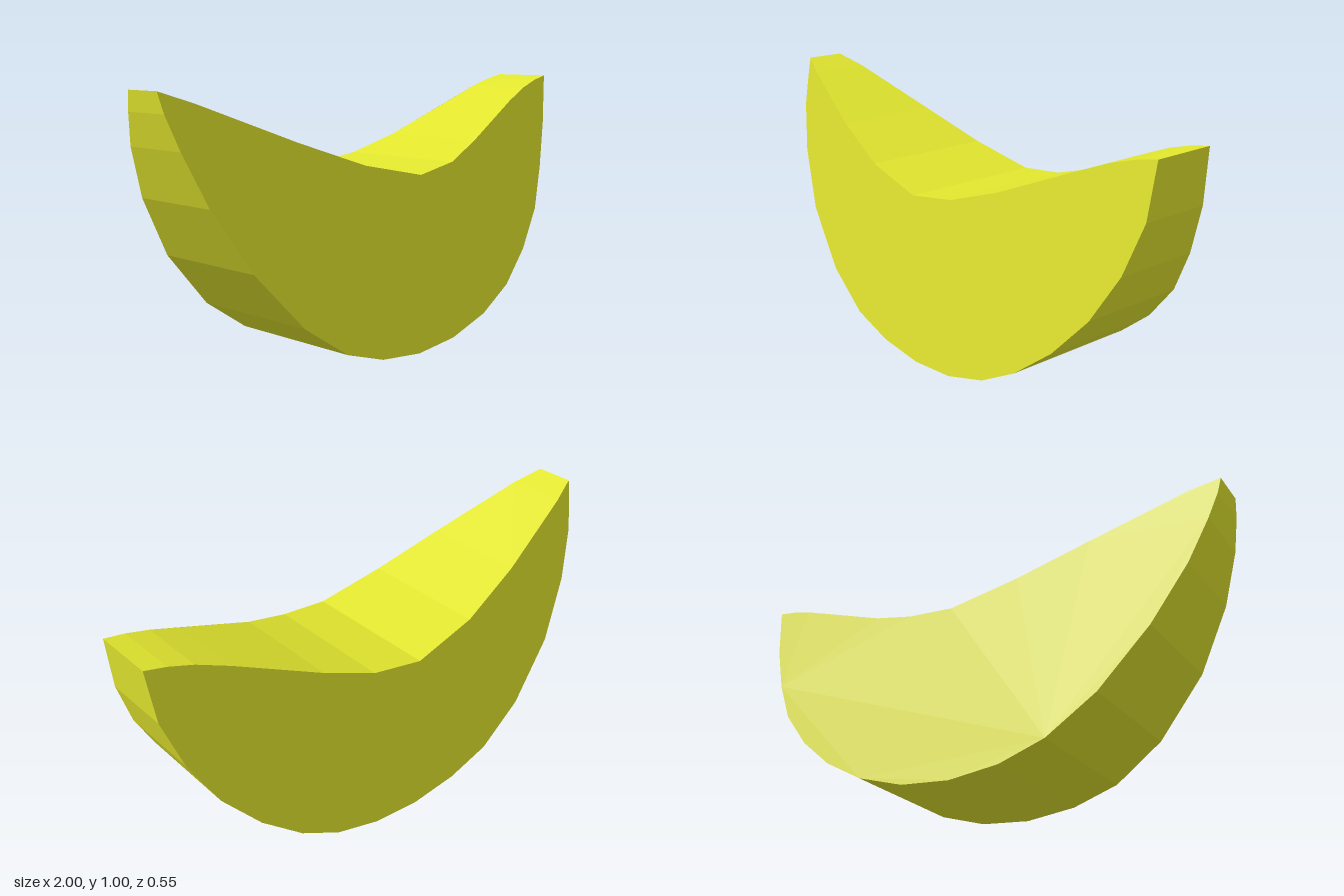
import * as THREE from 'three';

// Rim lines as [x, y, half thickness], running from the right tip to the left tip
const innerLine = [
  [-1, 1, 0.075], [-0.89, 0.96, 0.115], [-0.54, 0.82, 0.205], [-0.27, 0.725, 0.255], [0, 0.67, 0.275],
  [0.2, 0.7, 0.258], [0.39, 0.765, 0.215], [0.71, 0.905, 0.15], [0.83, 0.955, 0.133], [0.92, 0.983, 0.124], [1, 1, 0.118],
];
const outerLine = [
  [-1, 1, 0.075], [-0.99, 0.93, 0.095], [-0.96, 0.815, 0.133], [-0.89, 0.635, 0.18], [-0.76, 0.415, 0.23],
  [-0.57, 0.205, 0.262], [-0.38, 0.077, 0.275], [-0.2, 0.02, 0.275], [0, 0, 0.275], [0.2, 0.02, 0.275],
  [0.39, 0.08, 0.275], [0.55, 0.17, 0.268], [0.7, 0.293, 0.24], [0.83, 0.445, 0.205], [0.92, 0.615, 0.163],
  [0.98, 0.8, 0.132], [1, 1, 0.118],
];

const row = (line, side) => line.map(([x, y, w]) => [x, y, side * w]);

// Triangles (lists of three points) to a geometry with flat normals
function fromTriangles(triangles) {
  const geometry = new THREE.BufferGeometry();
  geometry.setAttribute('position', new THREE.Float32BufferAttribute(triangles.flat(2), 3));
  geometry.computeVertexNormals();
  return geometry;
}

// Band of flat quads across the thickness of a rim line, facing up when side is 1 and down when -1
function band(line, side) {
  const a = row(line, side), b = row(line, -side);
  const triangles = [];
  for (let i = 1; i < line.length; i++) {
    triangles.push([a[i - 1], a[i], b[i]], [a[i - 1], b[i], b[i - 1]]);
  }
  return fromTriangles(triangles);
}

// Crescent face: one outline filled with triangles and shaded evenly across its folds
function crescent(side) {
  const outline = [...row(outerLine, side).reverse(), ...row(innerLine, side).slice(1, -1)];
  if (side > 0) {
    outline.reverse();
    outline.push(outline.shift());
  }
  // Seen from outside, so that the corners run counter-clockwise
  const flat = outline.map(([x, y]) => new THREE.Vector2(side * x, y));
  const faces = THREE.ShapeUtils.triangulateShape(flat, []);
  const geometry = fromTriangles(faces.map((face) => face.map((i) => outline[i])));
  const normals = geometry.attributes.normal;
  const normal = new THREE.Vector3(0, 0.1, side).normalize();
  for (let i = 0; i < normals.count; i++) normals.setXYZ(i, normal.x, normal.y, normal.z);
  return geometry;
}

export function createModel() {
  const group = new THREE.Group();
  group.name = 'crescentWedge';
  const material = new THREE.MeshStandardMaterial({ color: 0xe2e62e });
  material.name = 'yellowGreen';

  const add = (name, geometry) => {
    const mesh = new THREE.Mesh(geometry, material);
    mesh.name = name;
    group.add(mesh);
  };

  // Curved upper and lower bands
  add('innerCurve', band(innerLine, 1));
  add('outerCurve', band(outerLine, -1));

  // Front and back crescents
  add('frontFace', crescent(1));
  add('backFace', crescent(-1));
  return group;
}
